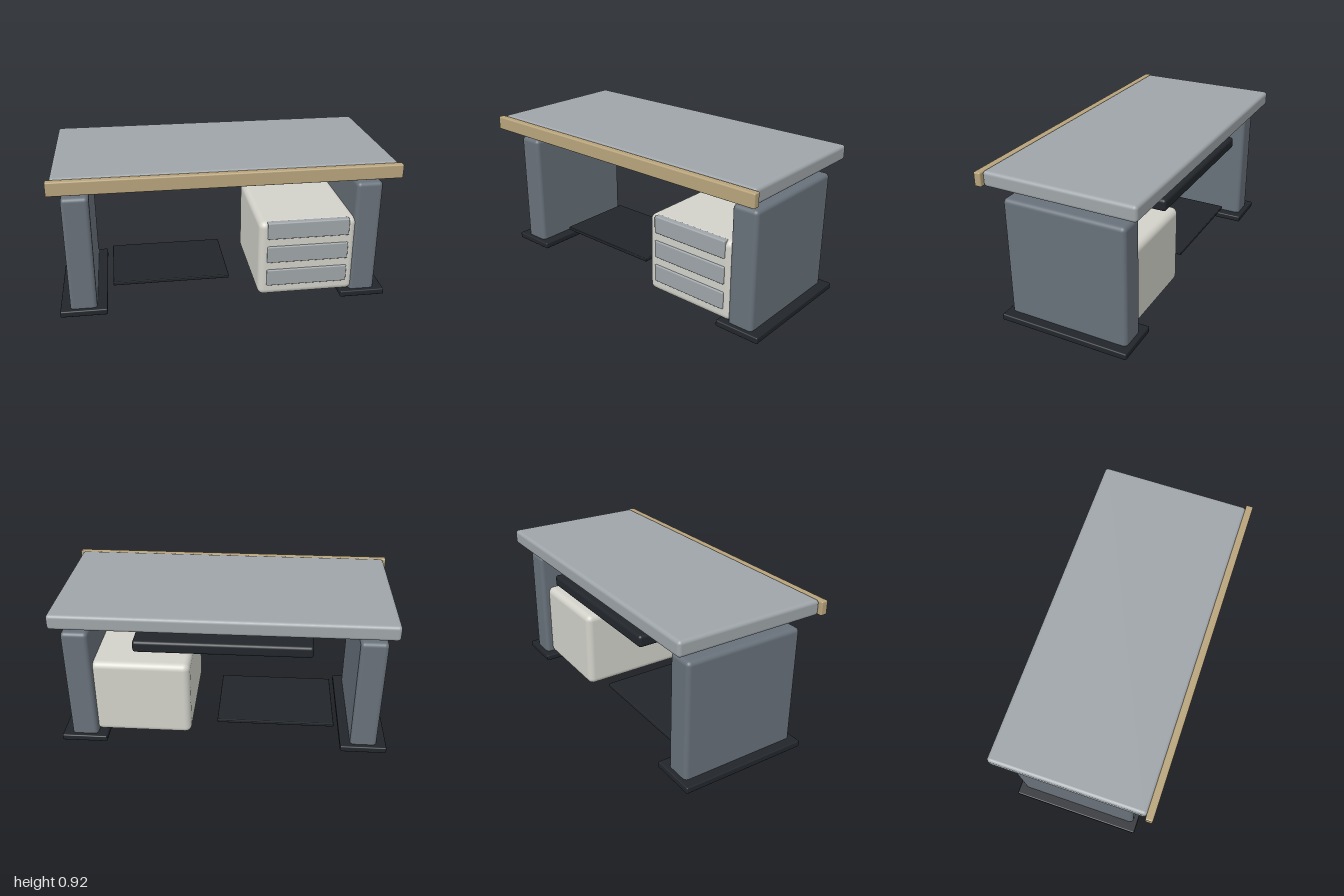
import * as THREE from 'three';
import { RoundedBoxGeometry } from 'three/addons/geometries/RoundedBoxGeometry.js';

const material = (color) => new THREE.MeshStandardMaterial({ color });
const grey = material(0x9fa5a9);
const slate = material(0x68717a);
const dark = material(0x22262b);
const wood = material(0xb8a47c);
const cream = material(0xd2d2ca);

export function createModel() {
  const desk = new THREE.Group();
  desk.name = 'desk';

  // Rounded box given by its [min, max] range on each axis
  function block(name, mat, [x0, x1], [y0, y1], [z0, z1], radius, parent = desk) {
    const geometry = new RoundedBoxGeometry(x1 - x0, y1 - y0, z1 - z0, 4, radius);
    const mesh = new THREE.Mesh(geometry, mat);
    mesh.position.set((x0 + x1) / 2, (y0 + y1) / 2, (z0 + z1) / 2);
    mesh.name = name;
    parent.add(mesh);
    return mesh;
  }

  // Worktop with a wooden front edge
  block('worktop', grey, [-0.98, 0.98], [0.825, 0.916], [-0.475, 0.435], 0.02);
  block('frontEdge', wood, [-1, 1], [0.828, 0.911], [0.432, 0.475], 0.008);

  // Slab legs standing through flat feet, one per side
  for (const [side, s] of [['left', 1], ['right', -1]]) {
    const leg = new THREE.Group();
    leg.name = side + 'Leg';
    desk.add(leg);
    const span = (a, b) => (s > 0 ? [a, b] : [-b, -a]);
    block(side + 'Slab', slate, span(0.781, 0.941), [0, 0.757], [-0.39, 0.35], 0.025, leg);
    block(side + 'Foot', dark, span(0.72, 1), [0.004, 0.043], [-0.419, 0.378], 0.008, leg);
  }

  // Cable tray under the back and low footrest panel
  block('cableTray', dark, [-0.52, 0.52], [0.657, 0.729], [-0.41, -0.25], 0.018);
  block('footrest', dark, [-0.68, 0.04], [0.1, 0.123], [-0.3, 0.205], 0.005);

  // Drawer cabinet with three fronts
  const cabinet = new THREE.Group();
  cabinet.name = 'drawerCabinet';
  desk.add(cabinet);
  block('cabinetBody', cream, [0.2, 0.8], [0.04, 0.535], [-0.35, 0.35], 0.04, cabinet);
  for (let i = 0; i < 3; i++) {
    const y = 0.112 + i * 0.1575;
    block('drawerFront' + (i + 1), grey, [0.25, 0.75], [y, y + 0.108], [0.321, 0.361], 0.008, cabinet);
  }

  return desk;
}
